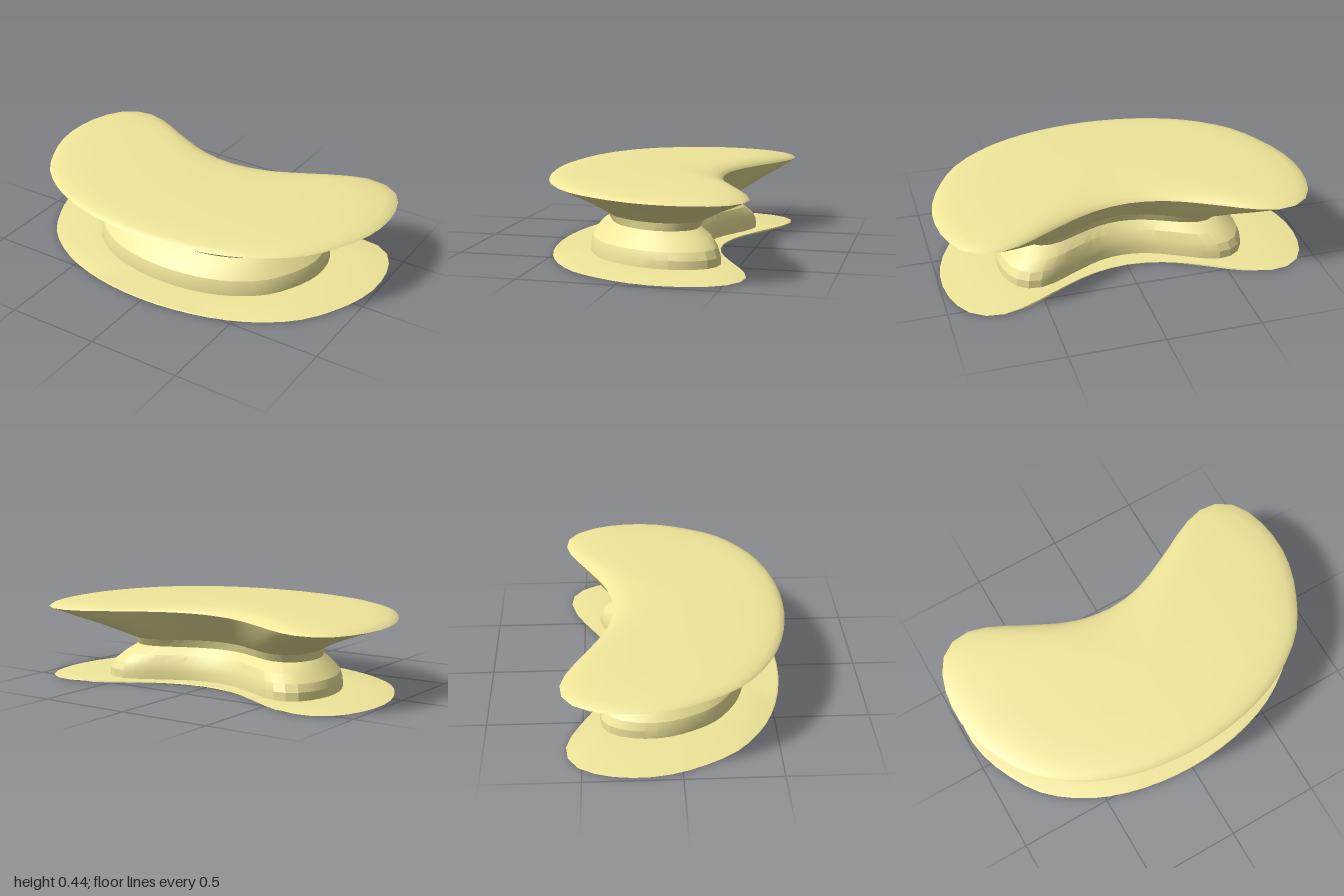
import * as THREE from 'three';
import { toCreasedNormals } from 'three/addons/utils/BufferGeometryUtils.js';

const SEGMENTS = 56;

// Kidney outline [x, z]: front middle, round the left lobe, to the back notch
const half = [
  [0, 0.587], [0.2, 0.573], [0.4, 0.53], [0.6, 0.447], [0.8, 0.293], [0.92, 0.1],
  [0.98, -0.06], [1, -0.22], [0.975, -0.4], [0.92, -0.515], [0.86, -0.57], [0.78, -0.597],
  [0.7, -0.592], [0.6, -0.557], [0.4, -0.452], [0.2, -0.362], [0, -0.33],
];
const mirrored = half.slice(1, -1).reverse().map(([x, z]) => [-x, z]);
const outline = new THREE.CatmullRomCurve3(
  [...half, ...mirrored].map(([x, z]) => new THREE.Vector3(x, 0, z)), true, 'centripetal',
).getSpacedPoints(SEGMENTS).slice(0, SEGMENTS);

// Skins kidney rings [xScale, zScale, y, zOffset, tilt], listed from underside to top
function loft(rings, crease) {
  const positions = [];
  const index = [];
  for (const [sx, sz, y, dz = 0, tilt = 0] of rings) {
    for (const p of outline) {
      const z = p.z * sz + dz;
      positions.push(p.x * sx, y + tilt * z, z);
    }
  }
  for (let i = 0; i < rings.length - 1; i++) {
    for (let j = 0; j < SEGMENTS; j++) {
      const a = i * SEGMENTS + j;
      const b = i * SEGMENTS + (j + 1) % SEGMENTS;
      const c = b + SEGMENTS;
      const d = a + SEGMENTS;
      if (rings[i][0] > 0) index.push(a, b, c);
      else index.push(a, c, d);
      if (rings[i][0] > 0 && rings[i + 1][0] > 0) index.push(a, c, d);
    }
  }
  const geometry = new THREE.BufferGeometry();
  geometry.setAttribute('position', new THREE.Float32BufferAttribute(positions, 3));
  geometry.setIndex(index);
  return toCreasedNormals(geometry, crease);
}

export function createModel() {
  const group = new THREE.Group();
  group.name = 'kidneyPedestal';
  const material = new THREE.MeshStandardMaterial({ color: 0xf0e69a, side: THREE.DoubleSide });

  const add = (name, rings, crease) => {
    const mesh = new THREE.Mesh(loft(rings, crease), material);
    mesh.name = name;
    group.add(mesh);
  };

  // Thin base plate with a small recess in its underside
  add('basePlate', [
    [0, 0, 0.05, 0.02],
    [0.12, 0.12, 0.05, 0.02],
    [0.125, 0.125, 0.006, 0.02],
    [0.22, 0.22, 0.001, 0.02],
    [0.93, 0.95, 0],
    [0.985, 0.975, 0.005],
    [0.97, 0.965, 0.008],
    [0.66, 0.66, 0.012],
  ], 0.4);

  // Rounded foot, narrow waist and flaring underside of the top
  add('pedestal', [
    [0.675, 0.67, 0.01, -0.01],
    [0.672, 0.668, 0.055, -0.01],
    [0.655, 0.645, 0.095, -0.007],
    [0.605, 0.58, 0.14, -0.005],
    [0.555, 0.465, 0.18, -0.003],
    [0.56, 0.51, 0.222, 0],
    [0.62, 0.605, 0.255, 0, 0.005],
    [0.74, 0.74, 0.305, 0, 0.008],
    [0.87, 0.88, 0.352, 0, 0.011],
    [1, 1, 0.397, 0, 0.014],
  ], 0.35);

  // Gently domed top
  add('top', [
    [1, 1, 0.397, 0, 0.014],
    [0.985, 0.98, 0.407, 0.002, 0.014],
    [0.94, 0.93, 0.416, 0.006, 0.013],
    [0.86, 0.85, 0.425, 0.012, 0.01],
    [0.72, 0.72, 0.431, 0.02, 0.006],
    [0.45, 0.45, 0.435, 0.035, 0.003],
    [0, 0, 0.436, 0.065],
  ], 0.5);

  return group;
}
